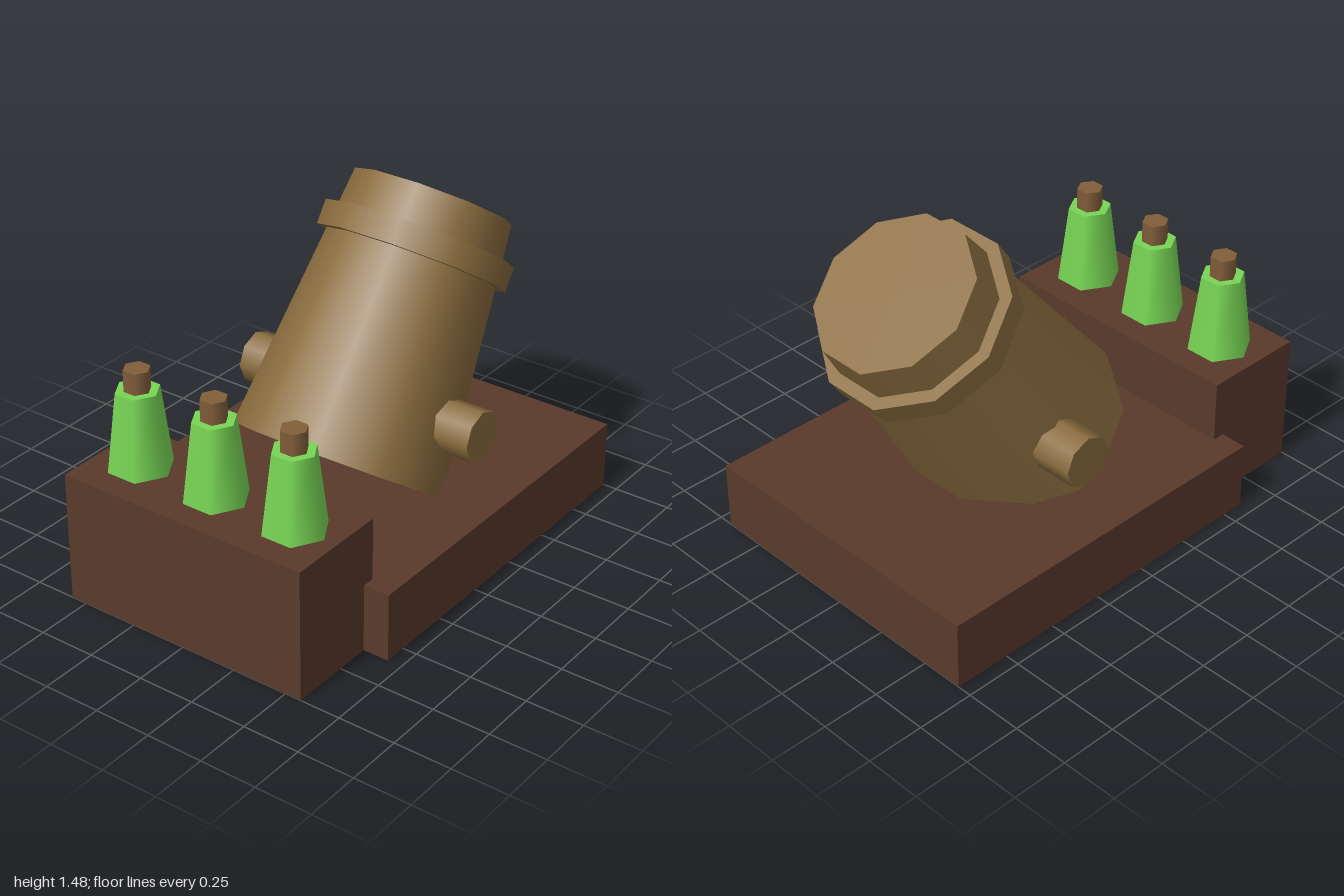
import * as THREE from 'three';

const makeMaterial = (name, color) => {
  const material = new THREE.MeshStandardMaterial({ color });
  material.name = name;
  return material;
};

export function createModel() {
  const wood = makeMaterial('dark wood', 0x5a3a2c);
  const bronze = makeMaterial('bronze', 0x8a6c3e);
  const glass = makeMaterial('green glass', 0x78d655);
  const cork = makeMaterial('cork', 0x825e3a);

  const model = new THREE.Group();
  model.name = 'mortarWithBottles';

  const add = (parent, name, geometry, material, x, y, z) => {
    const mesh = new THREE.Mesh(geometry, material);
    mesh.name = name;
    mesh.position.set(x, y, z);
    parent.add(mesh);
    return mesh;
  };

  // Wooden platform and the taller shelf block on its right side
  add(model, 'platform', new THREE.BoxGeometry(1.6, 0.3, 1.374), wood, 0.2, 0.15, 0);
  add(model, 'shelfBlock', new THREE.BoxGeometry(0.455, 0.572, 1.144), wood, -0.7725, 0.286, 0);

  // Tilted ten-sided barrel, built upright from its breech and leaned towards +x
  const mortar = new THREE.Group();
  mortar.name = 'mortar';
  mortar.position.set(0.006, 0.36, 0);
  mortar.rotation.z = THREE.MathUtils.degToRad(-35);
  model.add(mortar);
  const length = 1.144;
  add(mortar, 'barrel', new THREE.CylinderGeometry(0.343, 0.456, length, 10), bronze, 0, length / 2, 0);
  add(mortar, 'muzzleRing', new THREE.CylinderGeometry(0.412, 0.412, 0.106, 10), bronze, 0, 0.93, 0);

  // Eight-sided pivot pin running through the barrel
  const pin = add(model, 'pivotPin', new THREE.CylinderGeometry(0.113, 0.113, 1.144, 8), bronze, 0.198, 0.575, 0);
  pin.rotation.x = Math.PI / 2;

  // Row of three corked hexagonal bottles
  for (const z of [-0.378, 0, 0.378]) {
    const bottle = new THREE.Group();
    bottle.name = 'bottle';
    bottle.position.set(-0.773, 0.572, z);
    model.add(bottle);
    add(bottle, 'bottleBody', new THREE.CylinderGeometry(0.092, 0.136, 0.343, 6), glass, 0, 0.1715, 0);
    add(bottle, 'bottleCork', new THREE.CylinderGeometry(0.056, 0.056, 0.11, 6), cork, 0, 0.38, 0);
  }

  return model;
}
